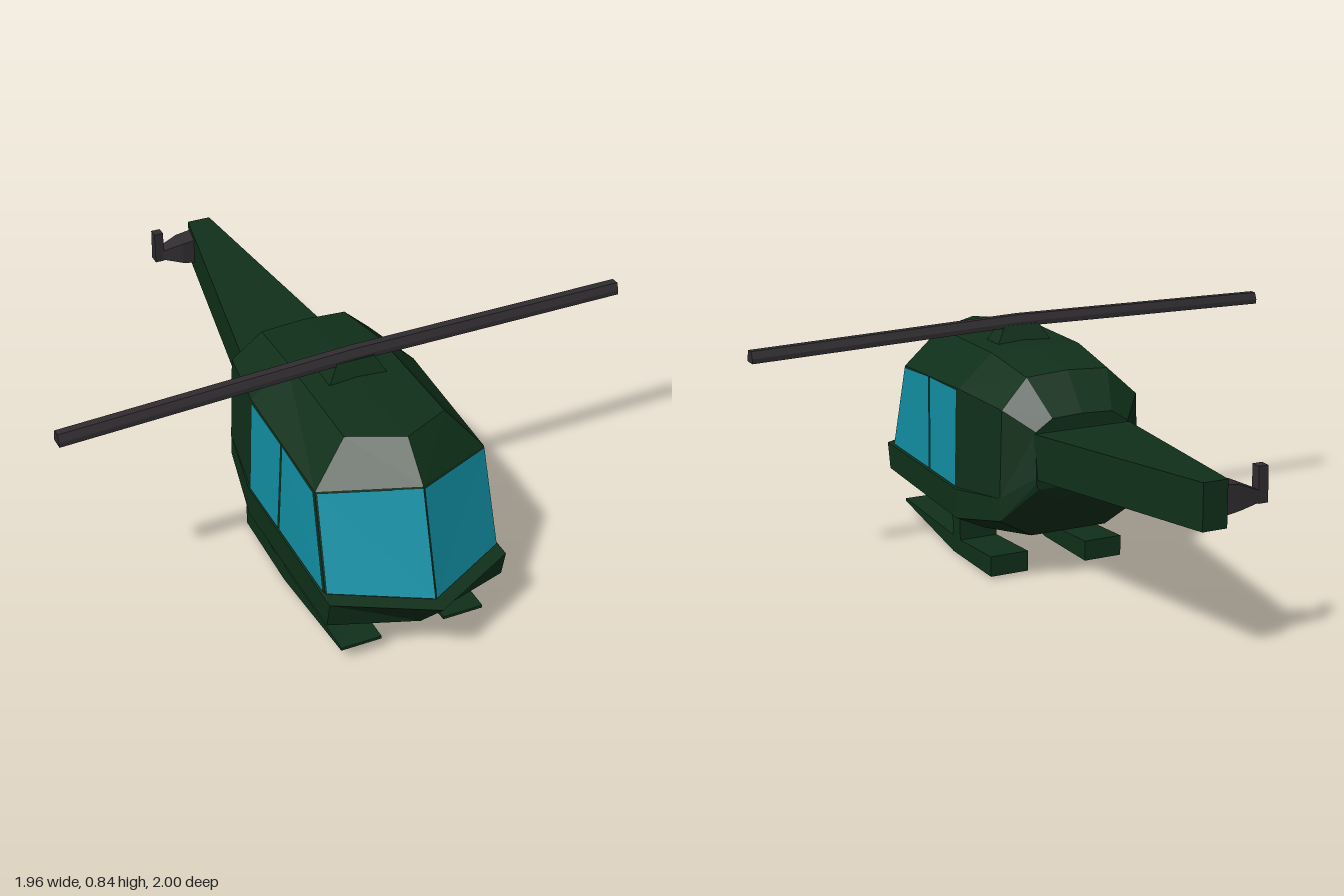
import * as THREE from 'three';
import { ConvexGeometry } from 'three/addons/geometries/ConvexGeometry.js';

const paint = (color) => new THREE.MeshStandardMaterial({ color, flatShading: true });
const V = (p) => new THREE.Vector3(...p);

export function createModel() {
  const model = new THREE.Group();
  const green = paint(0x10301a), glass = paint(0x1290a5), dark = paint(0x302c30);

  const add = (name, geometry, material, parent = model) => {
    const mesh = new THREE.Mesh(geometry, material);
    mesh.name = name;
    parent.add(mesh);
    return mesh;
  };

  // Quads given for the +x half, mirrored to the other half; empty triangles are dropped
  const mirroredQuads = (quads) => {
    const pos = [];
    for (const [a, b, c, d] of quads) {
      for (const tri of [[a, b, c], [a, c, d]]) {
        if (new THREE.Triangle(...tri.map(V)).getArea() < 1e-6) continue;
        for (const p of tri) pos.push(...p);
        for (const p of [tri[0], tri[2], tri[1]]) pos.push(-p[0], p[1], p[2]);
      }
    }
    const g = new THREE.BufferGeometry();
    g.setAttribute('position', new THREE.Float32BufferAttribute(pos, 3));
    g.computeVertexNormals();
    return g;
  };

  // Solid between rectangles [x0, x1, y0, y1, z0, z1], flat along one axis
  const taper = (...rects) => {
    const pts = [];
    for (const [x0, x1, y0, y1, z0, z1] of rects)
      for (const x of [x0, x1]) for (const y of [y0, y1]) for (const z of [z0, z1])
        if (!pts.some((p) => p.distanceTo(V([x, y, z])) < 1e-5)) pts.push(V([x, y, z]));
    return new ConvexGeometry(pts);
  };

  // Cabin: half rings from keel to roof, running from the nose ridge to the tail
  const rings = [
    [[0, .13, .86], [0, .13, .86], [0, .13, .86], [0, .285, 1], [0, .29, .95], [0, .645, .84], [0, .757, .73], [0, .757, .73]],
    [[0, .13, .86], [.2, .13, .78], [.305, .19, .82], [.305, .285, .84], [.298, .29, .79], [.288, .61, .69], [.17, .747, .64], [0, .757, .73]],
    [[0, .13, .2], [.2, .13, .2], [.305, .18, .2], [.305, .285, .2], [.3, .29, .2], [.29, .638, .2], [.165, .75, .2], [0, .76, .2]],
    [[0, .17, -.05], [.14, .17, -.05], [.26, .24, -.06], [.26, .29, -.06], [.26, .32, -.06], [.25, .622, -.06], [.15, .718, -.04], [0, .727, -.04]],
    [[0, .32, -.15], [.1, .32, -.15], [.17, .37, -.17], [.178, .39, -.17], [.178, .41, -.17], [.17, .56, -.15], [.11, .6, -.15], [0, .605, -.15]],
  ];
  rings.push(rings[4].map(([, y, z]) => [0, y, z]));
  const quads = [];
  for (let r = 0; r < rings.length - 1; r++)
    for (let i = 0; i < 7; i++)
      quads.push([rings[r][i], rings[r + 1][i], rings[r + 1][i + 1], rings[r][i + 1]]);
  add('cabin', mirroredQuads(quads), green);

  // Glass panes, lifted just off the cabin surface
  const pane = (...corners) => {
    const [a, b, c] = corners.map(V);
    const n = b.clone().sub(a).cross(c.clone().sub(a)).normalize().multiplyScalar(.004);
    return mirroredQuads([corners.map((p) => V(p).add(n).toArray())]);
  };
  add('windscreen', pane([0, .293, .949], [.294, .293, .792], [.284, .607, .694], [0, .64, .8415]), glass);
  add('frontSideWindows', pane([.298, .293, .782], [.299, .293, .447], [.29, .625, .455], [.288, .605, .684]), glass);
  add('rearSideWindows', pane([.299, .293, .437], [.3, .293, .21], [.29, .633, .21], [.29, .625, .447]), glass);

  // Tail boom
  add('tailBoom', taper([-.176, .176, .4, .555, -.15, -.15], [-.042, .042, .46, .612, -1, -1]), green);

  // Main rotor with drooping blades on a tapered mast
  add('rotorMast', taper([-.1, .1, .752, .752, .29, .385], [-.065, .065, .81, .81, .312, .363]), green);
  const rotor = new THREE.Group();
  rotor.name = 'mainRotor';
  rotor.position.set(0, .803, .337);
  rotor.rotation.y = .033;
  for (const s of [-1, 1]) {
    const pts = [];
    for (const [x, y] of [[0, 0], [s * .98, -.02]])
      for (const [z, h] of [[-.023, 0], [.023, 0], [-.023, .016], [.023, .016], [-.013, .04], [.013, .04]])
        pts.push(V([x, y + h, z]));
    add('rotorBlade', new ConvexGeometry(pts), dark, rotor);
  }
  model.add(rotor);

  // Tail rotor: tapered hub and a short upright blade on the -x side
  add('tailRotorHub', taper([-.04, -.04, .49, .59, -.98, -.9], [-.1, -.1, .5, .58, -.98, -.905], [-.17, -.17, .515, .55, -.975, -.935]), dark);
  add('tailRotorBlade', taper([-.198, -.165, .51, .51, -.975, -.935], [-.198, -.165, .625, .625, -.97, -.935]), dark);

  // Landing skids: side profile (z, y) extruded across x, each with one strut
  const profile = new THREE.Shape([[.81, .06], [.81, .07], [.3, .064], [.04, .085], [.04, .013], [.36, .004]]
    .map(([z, y]) => new THREE.Vector2(-z, y)));
  for (const s of [-1, 1]) {
    const skidGroup = new THREE.Group();
    skidGroup.name = s > 0 ? 'leftSkid' : 'rightSkid';
    const skid = new THREE.ExtrudeGeometry(profile, { depth: .14, bevelEnabled: false });
    skid.translate(0, 0, -.07).rotateY(Math.PI / 2);
    add('skid', skid, green, skidGroup);
    const strut = new THREE.BoxGeometry(.14, .13, .065).translate(0, .105, .333);
    add('strut', strut, green, skidGroup);
    skidGroup.position.set(s * .18, -.004, 0);
    model.add(skidGroup);
  }
  return model;
}
